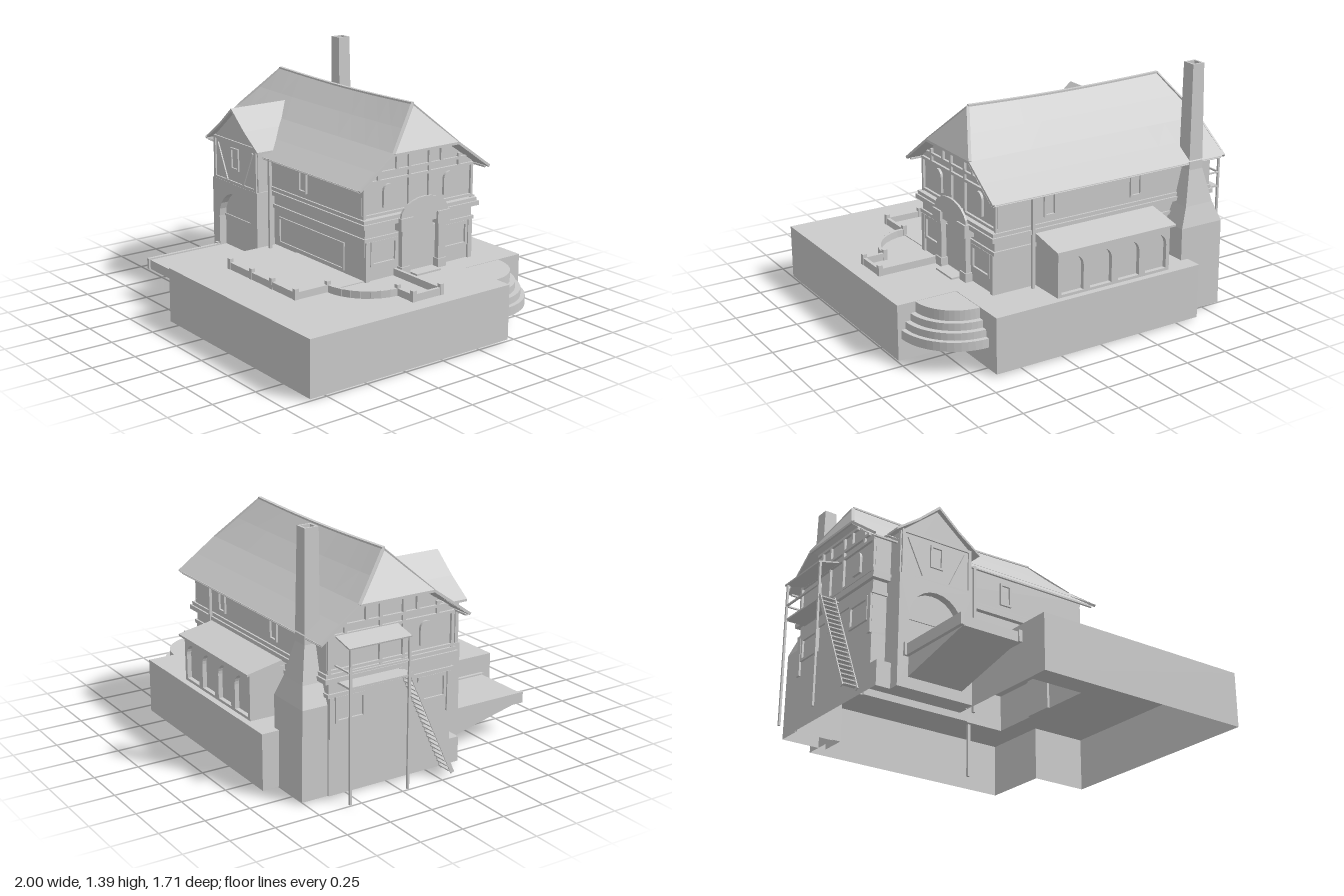
import * as THREE from 'three';

const mat = new THREE.MeshStandardMaterial({ color: 0xcccccc, side: THREE.DoubleSide, flatShading: true });
const ZC = -0.235; // z of the main ridge

export function createModel() {
  const root = new THREE.Group();
  const add = (name, geo, parent = root) => {
    const m = new THREE.Mesh(geo, mat);
    m.name = name;
    parent.add(m);
    return m;
  };
  const group = (name) => {
    const g = new THREE.Group();
    g.name = name;
    root.add(g);
    return g;
  };
  // box given by its limits
  const box = (name, x0, x1, y0, y1, z0, z1, p) => {
    const m = add(name, new THREE.BoxGeometry(x1 - x0, y1 - y0, z1 - z0), p);
    m.position.set((x0 + x1) / 2, (y0 + y1) / 2, (z0 + z1) / 2);
    return m;
  };
  // beam between two points
  const beam = (name, a, b, w, h, p) => {
    const A = new THREE.Vector3(...a), B = new THREE.Vector3(...b);
    const m = add(name, new THREE.BoxGeometry(w, h, A.distanceTo(B)), p);
    m.position.copy(A).lerp(B, 0.5);
    m.lookAt(B);
    return m;
  };
  const shapeOf = (pts) => new THREE.Shape(pts.map(([u, v]) => new THREE.Vector2(u, v)));
  const prismZ = (name, shape, z0, z1, p) => {
    const g = new THREE.ExtrudeGeometry(shape, { depth: z1 - z0, bevelEnabled: false });
    return add(name, g.translate(0, 0, z0), p);
  };
  // prism along x from [z, y] points
  const prismX = (name, pts, x0, x1, p) => {
    const g = new THREE.ExtrudeGeometry(shapeOf(pts.map(([z, y]) => [-z, y])), { depth: x1 - x0, bevelEnabled: false });
    return add(name, g.rotateY(Math.PI / 2).translate(x0, 0, 0), p);
  };
  // sheet through rows of points
  const sheet = (name, rows, p) => {
    const n = rows[0].length, idx = [];
    for (let i = 0; i < rows.length - 1; i++) for (let j = 0; j < n - 1; j++) {
      const a = i * n + j;
      idx.push(a, a + 1, a + n, a + 1, a + n + 1, a + n);
    }
    const g = new THREE.BufferGeometry();
    g.setAttribute('position', new THREE.Float32BufferAttribute(rows.flat(2), 3));
    g.setIndex(idx);
    g.computeVertexNormals();
    return add(name, g, p);
  };
  // upright walls along [x, z] points
  const walls = (name, plan, y0, y1, p) => sheet(name, [y1, y0].map((y) => plan.map(([x, z]) => [x, y, z])), p);
  // arch outline: jambs plus half circle
  const archPts = (c, r, y0, spring) => {
    const pts = [[c - r, y0], [c + r, y0]];
    for (let i = 0; i <= 12; i++) pts.push([c + r * Math.cos(i * Math.PI / 12), spring + r * Math.sin(i * Math.PI / 12)]);
    return pts;
  };

  // Terrace wrapping the house, open underneath
  const terrace = group('terrace');
  const plan = [[-0.31, 0.14], [-0.31, 0.85], [1, 0.85], [1, -0.455], [0.655, -0.455], [0.655, -0.855], [-0.63, -0.855], [-0.63, -0.61]];
  const lidPts = [...plan, [0.515, -0.61], [0.515, 0.14]].map(([x, z]) => [x, -z]);
  const lid = new THREE.ShapeGeometry(shapeOf(lidPts)).rotateX(-Math.PI / 2);
  add('terraceTop', lid.translate(0, 0.32, 0), terrace);
  walls('terraceWalls', plan, 0.01, 0.32, terrace);
  box('paving', -0.1, 0.51, 0.32, 0.325, 0.14, 0.585, terrace);
  [[0.325, 0.18], [0.3, 0.22], [0.27, 0.26], [0.24, 0.318]].forEach(([r, top]) => {
    const s = add('cornerStep', new THREE.CylinderGeometry(r, r, top - 0.13, 14, 1, false, Math.PI / 2, Math.PI / 2), terrace);
    s.position.set(0.655, (top + 0.13) / 2, -0.455);
  });

  // Low garden wall with a rounded corner
  const rail = group('gardenWall');
  const path = [[-0.1, 0.585], [0.51, 0.585], [0.51, 0.38]];
  for (let i = 1; i <= 8; i++) {
    const a = i * Math.PI / 16;
    path.push([0.51 + 0.26 * Math.sin(a), 0.12 + 0.26 * Math.cos(a)]);
  }
  path.push([0.895, 0.12], [0.895, -0.065], [0.52, -0.065]);
  path.slice(1).forEach(([x, z], i) => beam('gardenWallRun', [path[i][0], 0.34, path[i][1]], [x, 0.34, z], 0.018, 0.04, rail));
  [[-0.1, 0.585], [0.11, 0.585], [0.3, 0.585], [0.51, 0.585], [0.51, 0.38], [0.77, 0.12], [0.895, 0.12], [0.895, -0.065]].forEach(
    ([x, z]) => box('gardenWallPost', x - 0.012, x + 0.012, 0.32, 0.38, z - 0.012, z + 0.012, rail));

  // House body: hollow below, with stepped ledges
  const house = group('house');
  walls('baseWalls', [[-0.63, -0.61], [-0.865, -0.61], [-0.865, 0.14], [-0.31, 0.14]], 0.01, 0.32, house);
  walls('groundFloorWalls', [[-0.865, -0.61], [-0.865, 0.14], [0.515, 0.14], [0.515, -0.61], [-0.865, -0.61]], 0.32, 0.63, house);
  box('lowerLedge', -0.875, 0.525, 0.54, 0.56, -0.62, 0.15, house);
  box('upperLedge', -0.885, 0.545, 0.62, 0.645, -0.64, 0.17, house);
  box('upperLedgeTop', -0.875, 0.535, 0.645, 0.665, -0.63, 0.16, house);
  prismX('upperFloor', [[ZC + 0.385, 0.65], [ZC + 0.385, 0.87], [ZC + 0.2, 0.995], [ZC - 0.2, 0.995], [ZC - 0.385, 0.87], [ZC - 0.385, 0.65]], -0.86, 0.5, house);
  box('frontPanelSill', -0.27, 0.34, 0.34, 0.352, 0.14, 0.148, house);
  box('frontPanelHead', -0.27, 0.34, 0.485, 0.497, 0.14, 0.148, house);
  for (const x of [-0.27, 0.33]) box('frontPanelJamb', x, x + 0.012, 0.34, 0.497, 0.14, 0.148, house);

  // window frame facing z
  const frameZ = (x0, x1, y0, y1, z, d, p) => {
    const s = shapeOf([[x0, y0], [x1, y0], [x1, y1], [x0, y1]]);
    s.holes.push(shapeOf([[x0 + 0.012, y0 + 0.012], [x0 + 0.012, y1 - 0.012], [x1 - 0.012, y1 - 0.012], [x1 - 0.012, y0 + 0.012]]));
    prismZ('windowFrame', s, z, z + d, p);
  };
  frameZ(-0.06, 0.015, 0.695, 0.825, 0.15, 0.012, house);
  for (const x of [-0.4, 0.15]) frameZ(x, x + 0.075, 0.695, 0.825, -0.632, 0.012, house);

  // Timber framing and windows on both end walls
  for (const [x, d] of [[0.5, 1], [-0.86, -1]]) {
    const g = group('endWallTimbers');
    const X0 = Math.min(x, x + d * 0.014), X1 = Math.max(x, x + d * 0.014);
    for (const [y, half] of [[0.67, 0.385], [0.85, 0.385], [0.895, 0.33], [0.98, 0.21]])
      box('crossBeam', X0, X1, y, y + 0.015, ZC - half, ZC + half, g);
    for (const s of [-1, 1]) {
      for (const [off, y0, y1] of [[0.375, 0.66, 0.86], [0.07, 0.66, 0.99], [0.155, 0.895, 0.99], [0.28, 0.85, 0.93]])
        box('upright', X0, X1, y0, y1, ZC + s * off - 0.008, ZC + s * off + 0.008, g);
      prismX('archedWindow', archPts(ZC + s * 0.21, 0.038, 0.71, 0.8), X0, X1, g);
      const c = ZC + s * 0.25, gx0 = d > 0 ? 0.515 : -0.877, gx1 = gx0 + 0.012;
      box('sill', gx0, gx1, 0.4, 0.415, c - 0.09, c + 0.09, g);
      box('lintel', gx0, gx1, 0.52, 0.54, c - 0.09, c + 0.09, g);
      for (const k of [-0.082, 0.082]) box('jamb', gx0, gx1, 0.4, 0.54, c + k - 0.008, c + k + 0.008, g);
      box('cornerPillar', gx0, gx1, 0.32, 0.54, ZC + s * 0.36 - 0.014, ZC + s * 0.36 + 0.014, g);
    }
  }

  // Main roof: sagging, flared, with half-hipped ends
  const roof = group('mainRoof');
  const prof = [[0.455, 0.85], [0.34, 0.928], [0.225, 1.012], [0.11, 1.118], [0, 1.232]];
  const roofRow = ([dz, y], s) => {
    const t = Math.max(0, (y - 1.012) / 0.22), x0 = -0.92 + 0.135 * t, x1 = 0.572 - 0.13 * t;
    return Array.from({ length: 13 }, (_, i) => {
      const u = i / 12;
      return [x0 + (x1 - x0) * u, y - 0.012 * Math.sin(u * Math.PI) * t, ZC + s * dz];
    });
  };
  for (const s of [1, -1]) {
    sheet('roofSlope', prof.map((p) => roofRow(p, s)), roof);
    const under = prof.slice(0, 3).map((p) => roofRow([p[0] - 0.006, p[1] - 0.014], s));
    sheet('roofUnderside', under, roof);
    beam('eaveBoard', [-0.9, 0.836, ZC + s * 0.44], [0.55, 0.836, ZC + s * 0.44], 0.012, 0.01, roof);
    for (const x of [-0.914, 0.566]) {
      beam('vergeBoard', [x, 0.843, ZC + s * 0.452], [x, 1.004, ZC + s * 0.225], 0.012, 0.014, roof);
      beam('hipCap', [x, 1.01, ZC + s * 0.225], [x < 0 ? -0.785 : 0.442, 1.23, ZC], 0.016, 0.008, roof);
    }
  }
  for (const end of [0, 12]) {
    sheet('hipEnd', prof.slice(2).map((p) => [roofRow(p, -1)[end], roofRow(p, 1)[end]]), roof);
    const x = end ? 0.566 : -0.914;
    beam('hipBoard', [x, 1.005, ZC - 0.225], [x, 1.005, ZC + 0.225], 0.012, 0.014, roof);
  }
  const crest = roofRow(prof[4], 1);
  crest.slice(1).forEach((b, i) => beam('ridgeCap', crest[i], b, 0.02, 0.01, roof));

  // Gatehouse with arched gate, gabled upper storey and loading ramp
  const gate = group('gatehouse');
  box('gateBase', -0.865, -0.31, 0.01, 0.15, 0.14, 0.2, gate);
  const front = shapeOf([[-0.78, 0.01], [-0.32, 0.01], [-0.32, 0.64], [-0.78, 0.64]]);
  front.holes.push(shapeOf(archPts(-0.55, 0.165, 0.15, 0.415)));
  prismZ('gateWall', front, 0.2, 0.26, gate);
  box('gateCore', -0.78, -0.32, 0.01, 0.64, 0.14, 0.215, gate);
  box('gateRail', -0.715, -0.385, 0.41, 0.425, 0.215, 0.222, gate);
  const gable = [[-0.768, 0.64], [-0.328, 0.64], [-0.328, 0.89], [-0.548, 1.068], [-0.768, 0.89]];
  prismZ('gableStorey', shapeOf(gable), 0, 0.25, gate);
  frameZ(-0.59, -0.51, 0.725, 0.855, 0.25, 0.01, gate);
  for (const y of [0.648, 0.89]) beam('gableBeam', [-0.768, y, 0.252], [-0.328, y, 0.252], 0.014, 0.016, gate);
  for (const s of [-1, 1]) {
    beam('gablePost', [-0.548 + s * 0.21, 0.64, 0.252], [-0.548 + s * 0.21, 0.89, 0.252], 0.018, 0.014, gate);
    beam('gableBrace', [-0.548 + s * 0.18, 0.86, 0.252], [-0.548 + s * 0.08, 0.65, 0.252], 0.012, 0.012, gate);
    for (const z of [0.02, 0.13, 0.24]) {
      const x = -0.548 + s * 0.22;
      beam('sidePost', [x, 0.64, z], [x, 0.89, z], 0.014, 0.016, gate);
    }
    box('gateBuffer', -0.55 + s * 0.185 - 0.012, -0.55 + s * 0.185 + 0.012, 0.18, 0.25, 0.26, 0.275, gate);
  }
  prismZ('gableRoof', shapeOf([[-0.812, 0.885], [-0.68, 0.98], [-0.55, 1.092], [-0.42, 0.98], [-0.287, 0.885], [-0.287, 0.872], [-0.42, 0.965], [-0.55, 1.075], [-0.68, 0.965], [-0.812, 0.872]]), -0.13, 0.275, gate);
  prismX('ramp', [[0.21, 0.06], [0.735, 0.18], [0.735, 0.235], [0.21, 0.235]], -0.715, -0.385, gate);
  for (const x of [-0.735, -0.385]) prismX('rampCurb', [[0.25, 0.18], [0.745, 0.18], [0.745, 0.243], [0.25, 0.243]], x, x + 0.02, gate);

  // Entrance porch: thin round pediment on columns
  const porch = group('entrancePorch');
  const arch = [[ZC - 0.165, 0.64], [ZC + 0.165, 0.64]];
  for (let i = 1; i < 12; i++) arch.push([ZC + 0.165 * Math.cos(i * Math.PI / 12), 0.645 + 0.1 * Math.sin(i * Math.PI / 12)]);
  prismX('porchPediment', arch, 0.548, 0.56, porch);
  box('porchBeam', 0.5, 0.555, 0.6, 0.645, ZC - 0.1, ZC + 0.1, porch);
  box('door', 0.5, 0.525, 0.32, 0.6, ZC - 0.09, ZC + 0.09, porch);
  box('doorstep', 0.51, 0.603, 0.32, 0.33, ZC - 0.085, ZC + 0.085, porch);
  for (const s of [-1, 1]) {
    const z = ZC + s * 0.128;
    box('porchBlock', 0.5, 0.57, 0.575, 0.645, z - 0.042, z + 0.042, porch);
    box('porchColumn', 0.525, 0.555, 0.37, 0.575, z - 0.024, z + 0.024, porch);
    box('columnFoot', 0.52, 0.562, 0.32, 0.37, z - 0.03, z + 0.03, porch);
  }

  // Lean-to with four arches along the back
  const lean = group('backLeanTo');
  const arcade = shapeOf([[-0.45, 0.32], [0.265, 0.32], [0.265, 0.58], [-0.45, 0.58]]);
  for (let i = 0; i < 4; i++) arcade.holes.push(shapeOf(archPts(-0.36 + i * 0.178, 0.068, 0.335, 0.47)));
  prismZ('arcadeWall', arcade, -0.82, -0.79, lean);
  box('leanToCore', -0.45, 0.265, 0.32, 0.585, -0.795, -0.6, lean);
  prismX('leanToRoof', [[-0.6, 0.632], [-0.845, 0.583], [-0.845, 0.572], [-0.6, 0.6]], -0.47, 0.285, lean);

  // Chimney: broad foot, long curved shoulder, hollow stack
  const chimney = group('chimney');
  const section = (x0, x1, z0, z1, y) => [[x0, y, z0], [x1, y, z0], [x1, y, z1], [x0, y, z1], [x0, y, z0]];
  sheet('chimneyStack', [
    section(-0.855, -0.585, -0.76, -0.6, 0.01), section(-0.855, -0.585, -0.755, -0.6, 0.5),
    section(-0.81, -0.63, -0.725, -0.6, 0.61),
    section(-0.765, -0.675, -0.685, -0.595, 0.8), section(-0.757, -0.683, -0.674, -0.595, 1.388),
    section(-0.745, -0.695, -0.662, -0.607, 1.388), section(-0.745, -0.695, -0.662, -0.607, 1.25),
  ], chimney);
  box('flueFloor', -0.745, -0.695, 1.24, 1.25, -0.662, -0.607, chimney);

  // Eave posts reaching the ground
  for (const [x, z] of [[-0.27, 0.205], [0.3, -0.64]])
    box('eavePost', x - 0.008, x + 0.008, 0, 0.845, z - 0.008, z + 0.008);

  // Side landing with awning and steep stair
  const side = group('sideLanding');
  beam('awning', [-0.998, 0.826, -0.39], [-0.87, 0.856, -0.39], 0.37, 0.008, side);
  box('landing', -0.985, -0.86, 0.612, 0.622, -0.565, -0.2, side);
  beam('landingRail', [-0.985, 0.7, -0.565], [-0.985, 0.7, -0.21], 0.01, 0.01, side);
  beam('landingEndRail', [-0.985, 0.7, -0.565], [-0.86, 0.7, -0.565], 0.01, 0.008, side);
  for (const z of [-0.56, -0.21]) box('landingPost', -0.992, -0.98, 0, 0.83, z - 0.006, z + 0.006, side);
  for (const x of [-0.985, -0.897]) beam('stairStringer', [x, 0.63, -0.2], [x, 0.02, 0.075], 0.006, 0.022, side);
  for (let i = 0; i < 20; i++) {
    const t = i / 19, z = 0.065 - 0.26 * t, y = 0.035 + 0.58 * t;
    box('stairTread', -0.985, -0.895, y - 0.003, y + 0.003, z - 0.015, z + 0.015, side);
  }
  return root;
}
